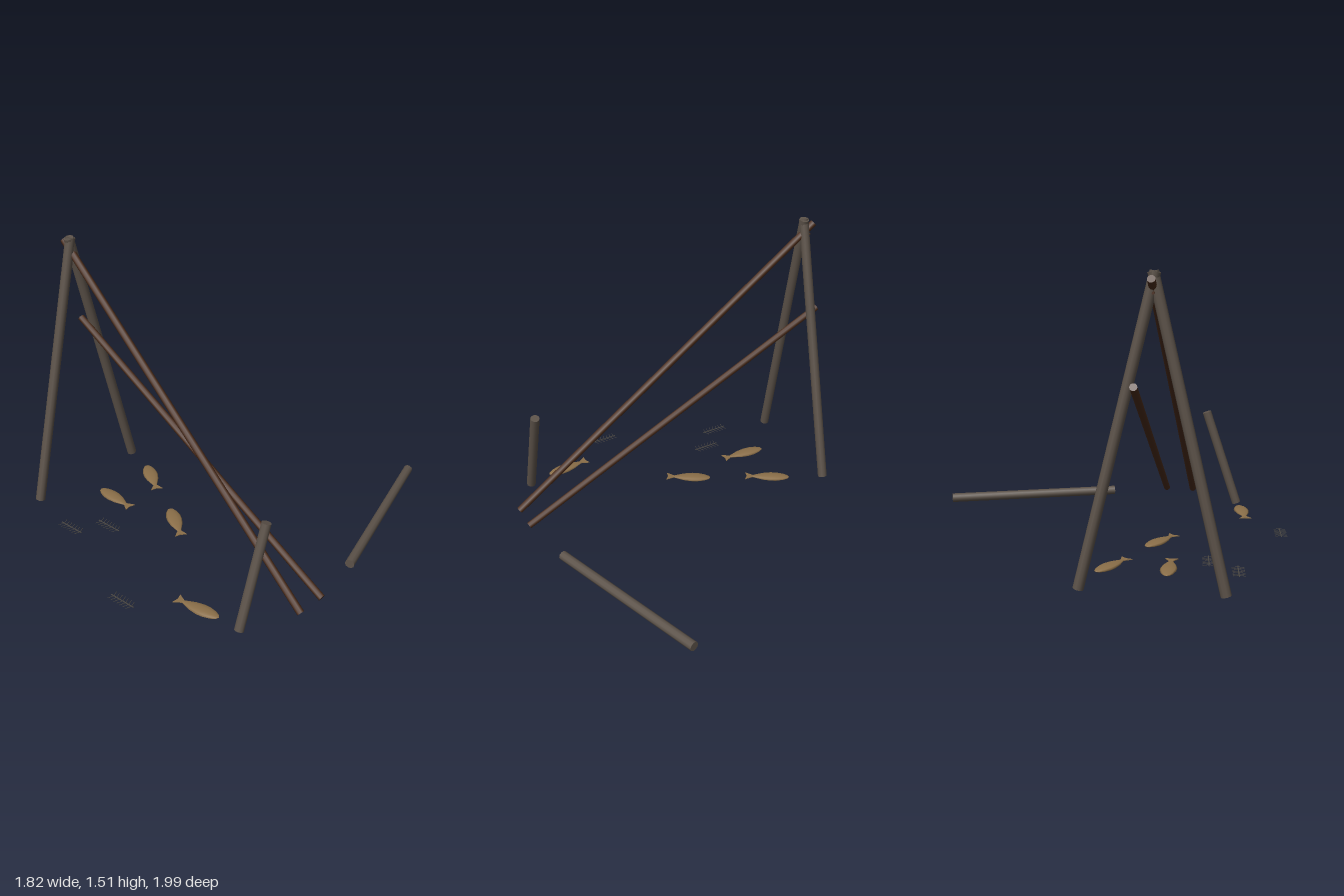
import * as THREE from 'three';

const mat = (name, color, opts = {}) => {
  const m = new THREE.MeshStandardMaterial({ color, ...opts });
  m.name = name;
  return m;
};

export function createModel() {
  const group = new THREE.Group();
  const greyWood = mat('weathered wood', 0x5c5249);
  const brownWood = mat('brown wood', 0x4a2b19);
  const fishSkin = mat('dried fish', 0x8b6f49, { side: THREE.DoubleSide });
  const bone = mat('old bone', 0x4a4743);

  // Straight round pole between two points
  const pole = (name, a, b, r, material, parent = group) => {
    const p = new THREE.Vector3(...a), q = new THREE.Vector3(...b);
    const d = q.clone().sub(p);
    const mesh = new THREE.Mesh(new THREE.CylinderGeometry(r, r, d.length(), 10), material);
    mesh.name = name;
    mesh.position.copy(p).add(q).multiplyScalar(0.5);
    mesh.quaternion.setFromUnitVectors(new THREE.Vector3(0, 1, 0), d.normalize());
    parent.add(mesh);
  };

  // Standing A-frame, broken stump and fallen post
  pole('frontLeg', [-0.84, 0.015, 0.7], [-0.84, 1.515, 0.347], 0.027, greyWood);
  pole('backLeg', [-0.842, 0.015, 0.003], [-0.842, 1.515, 0.357], 0.027, greyWood);
  pole('stump', [0.74, 0.015, 0.7], [0.74, 0.565, 0.515], 0.026, greyWood);
  pole('fallenPost', [0.505, 0.04, -0.99], [0.822, 0.04, -0.05], 0.026, greyWood);

  // Collapsed rails and the peg that held the upper one
  pole('upperRail', [-0.9, 1.485, 0.345], [0.9, 0.05, 0.428], 0.02, brownWood);
  pole('lowerRail', [-0.9, 1.0, 0.268], [0.9, 0.05, 0.268], 0.019, brownWood);
  pole('peg', [-0.885, 1.42, 0.352], [-0.81, 1.42, 0.352], 0.006, brownWood);

  // Fish body: flattened lathe lying along x, head towards +x
  const profile = [[0, 0.13], [0.016, 0.122], [0.031, 0.095], [0.041, 0.055], [0.042, 0.02],
    [0.034, -0.025], [0.021, -0.06], [0.009, -0.09], [0.006, -0.1], [0, -0.105]];
  const bodyGeo = new THREE.LatheGeometry(profile.map(([r, y]) => new THREE.Vector2(r, y)).reverse(), 10);
  bodyGeo.rotateZ(-Math.PI / 2);
  bodyGeo.scale(1, 0.3, 1);

  // Forked tail fin
  const tailShape = new THREE.Shape();
  [[-0.085, 0.009], [-0.13, 0.034], [-0.121, 0], [-0.13, -0.034], [-0.085, -0.009]].forEach(([x, y], i) =>
    i ? tailShape.lineTo(x, y) : tailShape.moveTo(x, y));
  const tailGeo = new THREE.ExtrudeGeometry(tailShape, { depth: 0.004, bevelEnabled: false });
  tailGeo.translate(0, 0, -0.002);
  tailGeo.rotateX(-Math.PI / 2);

  // Each fish: head x, z and tail x, z
  [[-0.64, 0.06, -0.42, 0.182], [-0.65, 0.405, -0.392, 0.409], [-0.22, 0.262, 0.0, 0.387],
    [0.618, 0.718, 0.363, 0.764]].forEach(([hx, hz, tx, tz]) => {
    const fish = new THREE.Group();
    fish.name = 'fish';
    const body = new THREE.Mesh(bodyGeo, fishSkin);
    body.name = 'fishBody';
    const tail = new THREE.Mesh(tailGeo, fishSkin);
    tail.name = 'fishTail';
    fish.add(body, tail);
    fish.position.set((hx + tx) / 2, 0.031, (hz + tz) / 2);
    fish.rotation.y = Math.atan2(tz - hz, hx - tx);
    group.add(fish);
  });

  // Flat fish skeletons: spine with slanted rib pairs
  [[-0.362, 0.594], [-0.496, 0.748], [0.17, 0.957]].forEach(([x, z]) => {
    const skeleton = new THREE.Group();
    skeleton.name = 'fishSkeleton';
    const spine = new THREE.Mesh(new THREE.BoxGeometry(0.156, 0.003, 0.005), bone);
    spine.name = 'spine';
    skeleton.add(spine);
    for (let i = 0; i < 7; i++) {
      for (const s of [-1, 1]) {
        const rib = new THREE.Mesh(new THREE.BoxGeometry(0.0025, 0.002, 0.034), bone);
        rib.name = 'rib';
        rib.position.set(-0.066 + i * 0.021, 0, s * 0.016);
        rib.rotation.y = -s * 0.35;
        skeleton.add(rib);
      }
    }
    skeleton.position.set(x, 0.018, z);
    skeleton.rotation.y = 0.08;
    group.add(skeleton);
  });

  return group;
}
